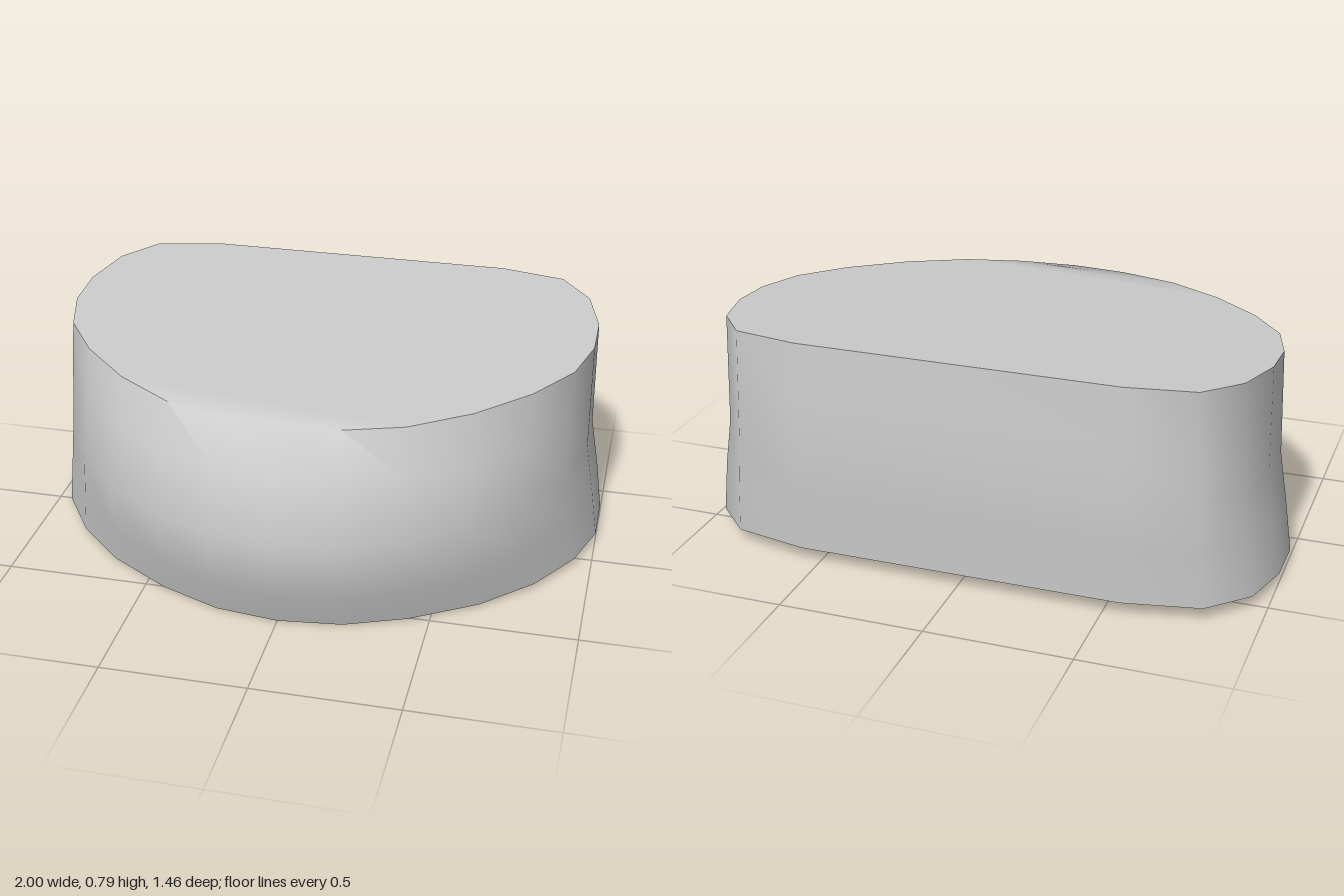
import * as THREE from 'three';
import { toCreasedNormals } from 'three/addons/utils/BufferGeometryUtils.js';

// Half outlines [x, z], from the flat back round the left side to the front tip
const BOTTOM = [[0.56, -0.71], [0.82, -0.655], [0.95, -0.52], [1, -0.33], [1, -0.14], [0.94, 0.04],
  [0.82, 0.22], [0.65, 0.38], [0.43, 0.51], [0.22, 0.59], [0, 0.615]];
const MIDDLE = [[0.56, -0.73], [0.79, -0.67], [0.905, -0.52], [0.945, -0.33], [0.945, -0.13], [0.89, 0.09],
  [0.77, 0.31], [0.61, 0.49], [0.41, 0.62], [0.21, 0.7], [0, 0.73]];
const TOP = [[0.55, -0.7], [0.78, -0.655], [0.89, -0.52], [0.94, -0.33], [0.94, -0.16], [0.89, 0.02],
  [0.77, 0.19], [0.6, 0.35], [0.4, 0.475], [0.2, 0.535], [0, 0.555]];

const blend = (a, b, t) => a.map((p, i) => [p[0] + (b[i][0] - p[0]) * t, p[1] + (b[i][1] - p[1]) * t]);

// Closed ring from a half outline, tilted from its front height to its back height
function makeRing(half, yFront, yBack) {
  const zBack = half[0][1], zFront = half[half.length - 1][1];
  const right = half.slice(0, -1).reverse().map(([x, z]) => [-x, z]);
  return [...half, ...right].map(([x, z]) =>
    [x, yFront + (yBack - yFront) * (zFront - z) / (zFront - zBack), z]);
}

export function createModel() {
  const rings = [
    makeRing(BOTTOM, 0, 0.05),
    makeRing(blend(BOTTOM, MIDDLE, 0.45), 0.13, 0.25),
    makeRing(MIDDLE, 0.36, 0.4),
    makeRing(blend(MIDDLE, TOP, 0.52), 0.56, 0.6),
    makeRing(TOP, 0.71, 0.793),
  ];
  const n = rings[0].length;
  const pos = [];
  const tri = (a, b, c) => pos.push(...a, ...b, ...c);

  // Bulging wall
  for (let r = 0; r < rings.length - 1; r++) {
    const a = rings[r], b = rings[r + 1];
    for (let i = 0; i < n; i++) {
      const j = (i + 1) % n;
      tri(a[i], b[i], b[j]);
      tri(a[i], b[j], a[j]);
    }
  }

  // Flat caps, made of strips running from side to side
  const cap = (ring, up) => {
    const face = (a, b, c) => (up ? tri(a, b, c) : tri(a, c, b));
    for (let k = 0; k < TOP.length - 1; k++) {
      const l0 = ring[k], l1 = ring[k + 1], r0 = ring[n - 1 - k], r1 = ring[n - 2 - k];
      face(l0, r0, l1);
      if (r1 !== l1) face(r0, r1, l1);
    }
  };
  cap(rings[rings.length - 1], true);
  cap(rings[0], false);

  const geometry = new THREE.BufferGeometry();
  geometry.setAttribute('position', new THREE.Float32BufferAttribute(pos, 3));
  const body = new THREE.Mesh(
    toCreasedNormals(geometry, THREE.MathUtils.degToRad(62)),
    new THREE.MeshStandardMaterial({ color: 0xcccccc }));
  body.name = 'body';

  const group = new THREE.Group();
  group.name = 'roundedBlock';
  group.add(body);
  return group;
}
